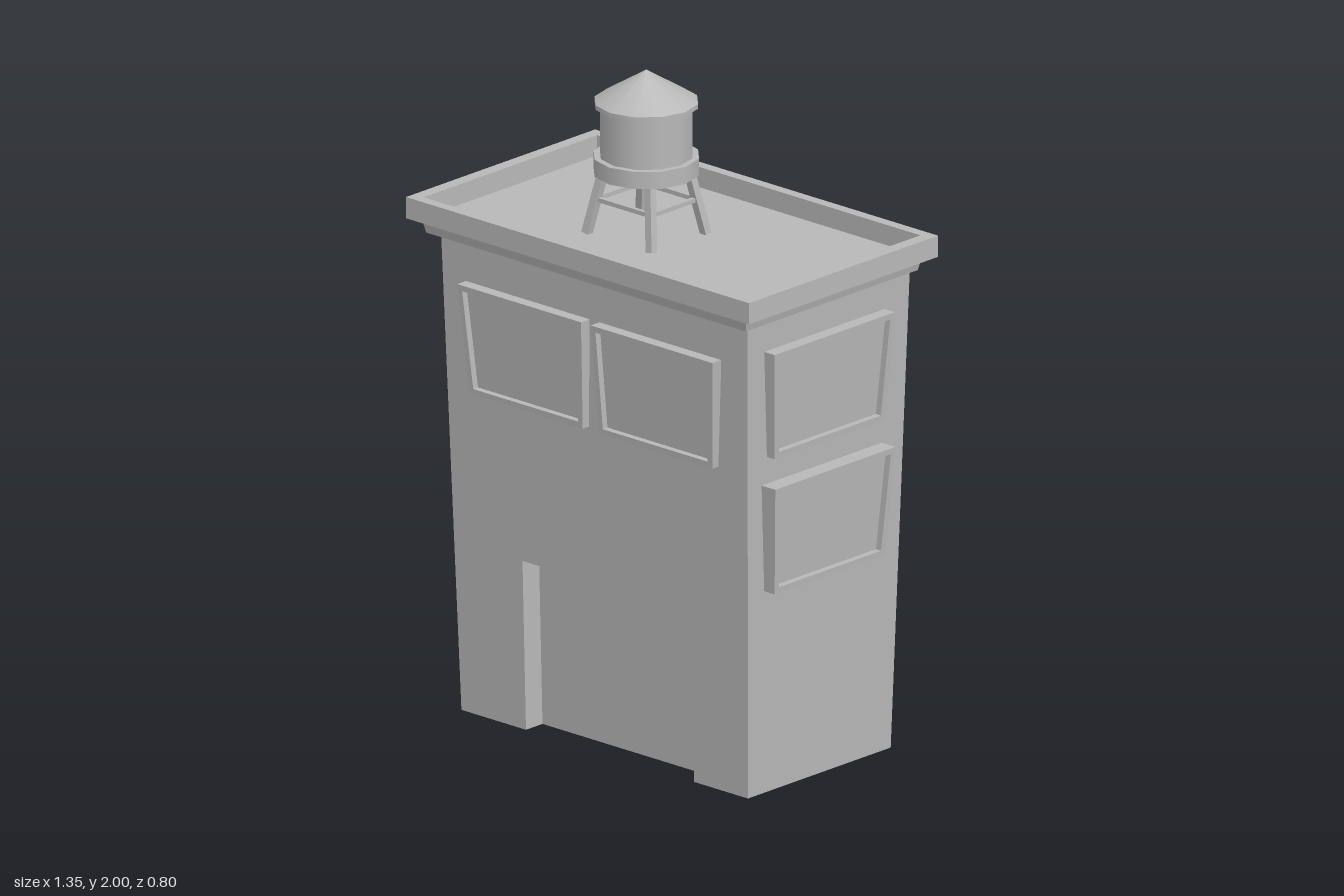
import * as THREE from 'three';

const grey = new THREE.MeshStandardMaterial({ color: 0xb8b8b8, side: THREE.DoubleSide });
grey.name = 'plain grey';

const WALL_TOP = 1.46;

function add(parent, name, geometry) {
  const mesh = new THREE.Mesh(geometry, grey);
  mesh.name = name;
  parent.add(mesh);
  return mesh;
}

const toShape = (pts) => new THREE.Shape(pts.map(([x, y]) => new THREE.Vector2(x, y)));

// Moves every vertex: z becomes a function of its height and old z
function mapZ(geometry, rule) {
  const p = geometry.attributes.position;
  for (let i = 0; i < p.count; i++) p.setZ(i, rule(p.getY(i), p.getZ(i)));
  geometry.computeVertexNormals();
  return geometry;
}

// Trapezoid corners, counter-clockwise, shrunk by an inset
const trapezoid = (w, i) => [
  [w.b[0] + i, w.y0 + i], [w.b[1] - i, w.y0 + i],
  [w.t[1] - i, w.y1 - i], [w.t[0] + i, w.y1 - i],
];

// One leaning wall facing local +z, with optional door recess and windows
function makeWall(name, angle, { left, right, lean, door, windows = [] }) {
  const g = new THREE.Group();
  g.name = name;
  g.rotation.y = angle;
  const plane = (y) => THREE.MathUtils.lerp(lean[0], lean[1], y / WALL_TOP);

  const notch = door ? [[door.x0, 0], [door.x0, door.h], [door.x1, door.h], [door.x1, 0]] : [];
  const outline = [[left[0], 0], ...notch, [right[0], 0], [right[1], WALL_TOP], [left[1], WALL_TOP]];
  add(g, 'wallFace', mapZ(new THREE.ShapeGeometry(toShape(outline)), plane));

  if (door) {
    const back = (y) => plane(y) - door.depth;
    add(g, 'doorPanel', mapZ(new THREE.ShapeGeometry(toShape([...notch].reverse())), back));
    const pos = [];
    for (let i = 0; i < 3; i++) {
      const [a, b] = [notch[i], notch[i + 1]];
      const A = [...a, plane(a[1])], B = [...b, plane(b[1])];
      const C = [...b, back(b[1])], D = [...a, back(a[1])];
      pos.push(...A, ...C, ...B, ...A, ...D, ...C);
    }
    const reveal = new THREE.BufferGeometry();
    reveal.setAttribute('position', new THREE.Float32BufferAttribute(pos, 3));
    reveal.computeVertexNormals();
    add(g, 'doorReveal', reveal);
  }

  for (const w of windows) {
    const shape = toShape(trapezoid(w, 0));
    shape.holes.push(toShape(trapezoid(w, 0.018)));
    const frame = new THREE.ExtrudeGeometry(shape, { depth: 1, bevelEnabled: false });
    const out = (y) => THREE.MathUtils.lerp(w.out[0], w.out[1], (y - w.y0) / (w.y1 - w.y0));
    add(g, 'windowFrame', mapZ(frame, (y, z) => plane(y) + (z > 0.5 ? out(y) : -0.005)));
    const pane = new THREE.ShapeGeometry(toShape(trapezoid(w, 0.016)));
    add(g, 'windowPane', mapZ(pane, (y) => plane(y) + out(y) - 0.02));
  }
  return g;
}

// Square bar between two points
function bar(parent, name, a, b, size) {
  const A = new THREE.Vector3(...a), B = new THREE.Vector3(...b);
  const dir = B.clone().sub(A);
  const mesh = add(parent, name, new THREE.BoxGeometry(size, dir.length(), size));
  mesh.position.copy(A).add(B).multiplyScalar(0.5);
  mesh.quaternion.setFromUnitVectors(new THREE.Vector3(0, 1, 0), dir.normalize());
}

function makeWaterTower() {
  const g = new THREE.Group();
  g.name = 'waterTower';
  g.position.set(-0.075, 0, 0.028);

  // Splayed legs and the braces joining them
  const corners = [[1, 1], [1, -1], [-1, -1], [-1, 1]];
  const legAt = (c, y) => {
    const t = (y - 1.5) / 0.2;
    return [c[0] * (0.127 - 0.037 * t), y, c[1] * (0.115 - 0.034 * t)];
  };
  corners.forEach((c, i) => {
    bar(g, 'leg', legAt(c, 1.5), legAt(c, 1.7), 0.024);
    bar(g, 'brace', legAt(c, 1.605), legAt(corners[(i + 1) % 4], 1.605), 0.013);
  });

  const drum = (name, rTop, rBottom, y0, y1, open = false) => {
    const mesh = add(g, name, new THREE.CylinderGeometry(rTop, rBottom, y1 - y0, 12, 1, open));
    mesh.position.y = (y0 + y1) / 2;
  };
  drum('tankBase', 0.156, 0.156, 1.688, 1.74);
  drum('tankBody', 0.137, 0.137, 1.74, 1.895);
  drum('roofRim', 0.153, 0.153, 1.892, 1.906);
  drum('roofCone', 0, 0.153, 1.906, 2, true);
  return g;
}

export function createModel() {
  const model = new THREE.Group();
  model.name = 'building';

  // Four walls, widening upward
  const sideL = [-0.302, -0.343], sideR = [0.302, 0.343];
  model.add(makeWall('frontWall', 0, {
    left: [-0.548, -0.59], right: [0.58, 0.617], lean: sideR,
    door: { x0: -0.294, x1: 0.368, h: 0.52, depth: 0.07 },
    windows: [
      { t: [-0.495, -0.008], b: [-0.468, -0.02], y0: 1.0, y1: 1.333, out: [0.026, 0.037] },
      { t: [0.03, 0.51], b: [0.042, 0.49], y0: 1.0, y1: 1.333, out: [0.026, 0.037] },
    ],
  }));
  model.add(makeWall('backWall', Math.PI, {
    left: [-0.58, -0.617], right: [0.548, 0.59], lean: sideR,
  }));
  model.add(makeWall('leftWall', Math.PI / 2, {
    left: sideL, right: sideR, lean: [0.58, 0.617],
    windows: [
      { t: [-0.27, 0.238], b: [-0.25, 0.217], y0: 1.037, y1: 1.365, out: [0.03, 0.041] },
      { t: [-0.27, 0.238], b: [-0.25, 0.217], y0: 0.624, y1: 0.954, out: [0.041, 0.054] },
    ],
  }));
  model.add(makeWall('rightWall', -Math.PI / 2, {
    left: sideL, right: sideR, lean: [0.548, 0.59],
    door: { x0: -0.14, x1: 0.13, h: 0.52, depth: 0.06 },
    windows: [
      { t: [-0.28, 0.275], b: [-0.245, 0.25], y0: 0.825, y1: 1.37, out: [0.038, 0.049] },
    ],
  }));

  // Cornice slab, slightly narrower below; its top is the roof deck
  const slab = new THREE.BoxGeometry(1.28, 0.045, 0.746);
  const p = slab.attributes.position;
  for (let i = 0; i < p.count; i++) {
    if (p.getY(i) < 0) p.setXYZ(i, p.getX(i) * 0.983, p.getY(i), p.getZ(i) * 0.975);
  }
  slab.computeVertexNormals();
  add(model, 'corniceAndRoof', slab).position.y = 1.4775;

  // Parapet ring around the roof
  const rect = (x, z) => [[-x, -z], [x, -z], [x, z], [-x, z]];
  const ring = toShape(rect(0.675, 0.4));
  ring.holes.push(toShape(rect(0.636, 0.367)));
  const parapet = new THREE.ExtrudeGeometry(ring, { depth: 0.065, bevelEnabled: false });
  parapet.rotateX(-Math.PI / 2);
  add(model, 'parapet', parapet).position.y = 1.497;

  model.add(makeWaterTower());
  return model;
}
